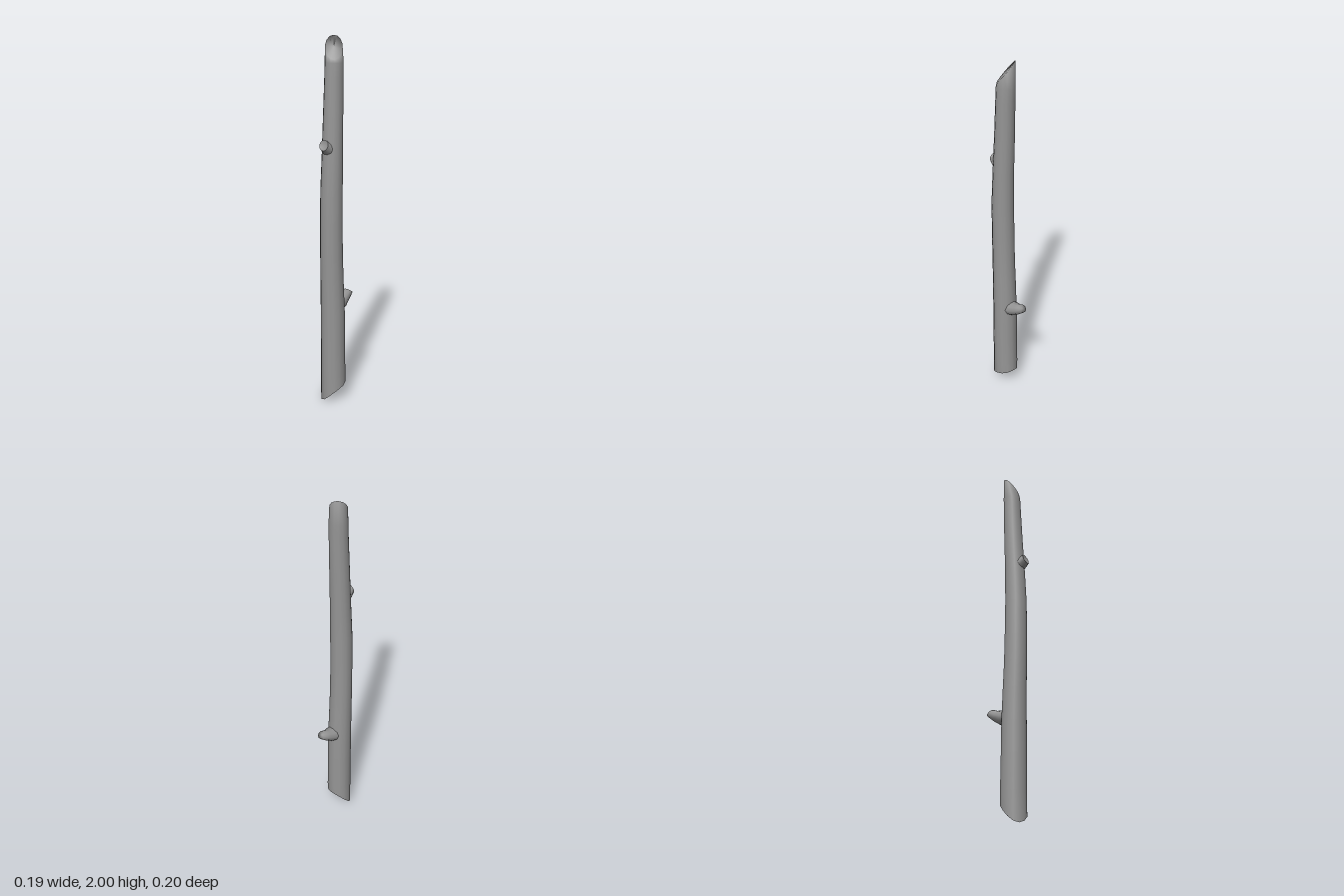
import * as THREE from 'three';

const SIDES = 14;
const material = new THREE.MeshStandardMaterial({ color: 0x969696, side: THREE.DoubleSide });

function build(points, index) {
  const geometry = new THREE.BufferGeometry().setFromPoints(points);
  geometry.setIndex(index);
  geometry.computeVertexNormals();
  return geometry;
}

function centreOf(ring) {
  const centre = new THREE.Vector3();
  ring.forEach((p) => centre.addScaledVector(p, 1 / ring.length));
  return centre;
}

// Smooth skin through rings from base to tip; a closed tip is shaded as one with the sides
function skin(rings, closed) {
  const n = rings[0].length, last = (rings.length - 1) * n;
  const points = rings.flat(), index = [];
  for (let i = 0; i < last; i += n) {
    for (let j = 0; j < n; j++) {
      const a = i + j, b = i + (j + 1) % n;
      index.push(a, b, a + n, b, b + n, a + n);
    }
  }
  if (closed) {
    points.push(centreOf(rings[rings.length - 1]));
    for (let j = 0; j < n; j++) index.push(last + j, last + (j + 1) % n, last + n);
  }
  return build(points, index);
}

// Sharp-edged fan closing one ring, its centre pushed by an offset
function cap(ring, offset) {
  const n = ring.length, index = [];
  for (let j = 0; j < n; j++) index.push(j, (j + 1) % n, n);
  return build([...ring, centreOf(ring).add(offset)], index);
}

function add(group, name, geometry) {
  const mesh = new THREE.Mesh(geometry, material);
  mesh.name = name;
  group.add(mesh);
}

// Cut heights at the two ends of the stem
const bottomCut = (x, z) => 0.105 * (1 - ((0.046 - x) / 0.136) ** 2) - 0.22 * (z - 0.018);
const topCut = (x, z) => 1.89 + 1.25 * (0.056 - z) + 0.1 * (x + 0.02);

function createStem() {
  const group = new THREE.Group();
  group.name = 'stem';
  // height, centre x, centre z, radius
  const sections = [
    [0.08, -0.022, 0.018, 0.068], [0.16, -0.022, 0.018, 0.068], [0.35, -0.023, 0.02, 0.067],
    [0.52, -0.024, 0.021, 0.066], [0.7, -0.028, 0.024, 0.063], [0.85, -0.031, 0.028, 0.061],
    [1.0, -0.032, 0.03, 0.06], [1.2, -0.031, 0.032, 0.059], [1.4, -0.026, 0.028, 0.055],
    [1.6, -0.021, 0.021, 0.052], [1.8, -0.016, 0.016, 0.049], [1.87, -0.015, 0.014, 0.048],
    [1.94, -0.016, 0.013, 0.045],
  ];
  const last = sections.length - 1;
  const rings = sections.map(([y, cx, cz, r], i) => Array.from({ length: SIDES }, (_, j) => {
    const a = (j / SIDES) * Math.PI * 2;
    const x = cx + r * Math.sin(a), z = cz + r * Math.cos(a);
    const height = i === 0 ? bottomCut(x, z) : i === last ? topCut(x, z) : y;
    return new THREE.Vector3(x, height, z);
  }));
  add(group, 'bark', skin(rings, true));
  add(group, 'bottomCut', cap([...rings[0]].reverse(), new THREE.Vector3(0, 0.01, 0)));
  return group;
}

// Rings of a twig stub; each section is x, y, z, radius, tilt above horizontal
function twigRings(heading, sections) {
  const out = new THREE.Vector3(Math.sin(heading), 0, Math.cos(heading));
  const side = new THREE.Vector3(Math.cos(heading), 0, -Math.sin(heading));
  return sections.map(([x, y, z, r, tilt]) => {
    const up = out.clone().multiplyScalar(-Math.sin(tilt)).setY(Math.cos(tilt));
    return Array.from({ length: 10 }, (_, j) => {
      const a = (j / 10) * Math.PI * 2;
      return new THREE.Vector3(x, y, z)
        .addScaledVector(side, r * Math.cos(a)).addScaledVector(up, r * Math.sin(a));
    });
  });
}

function createTwigs() {
  const group = new THREE.Group();
  group.name = 'twigs';
  // Lower twig, with a rounded tip
  add(group, 'lowerTwig', skin(twigRings(Math.atan2(0.66, -0.75), [
    [-0.01, 0.55, 0.008, 0.044, 0.1],
    [0.025, 0.564, -0.03, 0.04, 0.25],
    [0.048, 0.578, -0.056, 0.03, 0.45],
    [0.073, 0.602, -0.081, 0.024, 0.9],
  ]), true));
  // Upper twig, broken off with a hollow face
  const upper = twigRings(Math.atan2(-0.7, 0.7), [
    [-0.035, 1.425, 0.035, 0.042, 0.2],
    [-0.06, 1.442, 0.063, 0.033, 0.3],
    [-0.074, 1.459, 0.078, 0.029, 0.3],
  ]);
  add(group, 'upperTwig', skin(upper, false));
  add(group, 'upperTwigCut', cap(upper[2], new THREE.Vector3(0.008, -0.003, -0.008)));
  return group;
}

export function createModel() {
  const model = new THREE.Group();
  model.name = 'stick';
  model.add(createStem(), createTwigs());
  return model;
}
